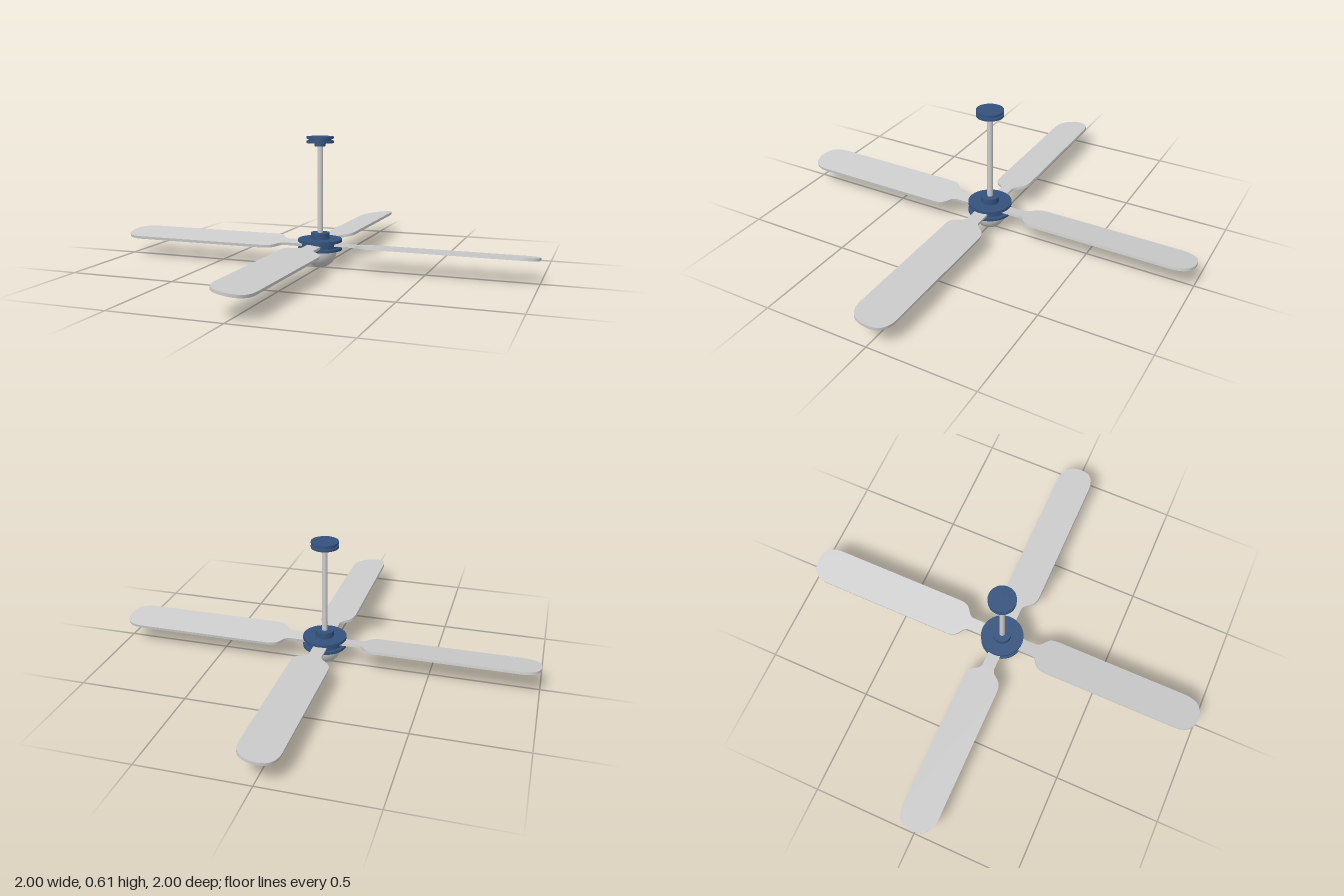
import * as THREE from 'three';
import { toCreasedNormals } from 'three/addons/utils/BufferGeometryUtils.js';

const grey = new THREE.MeshStandardMaterial({ color: 0xcccccc });
const blue = new THREE.MeshStandardMaterial({ color: 0x34527d });

// Turned part from [radius, height] pairs, listed bottom to top
function turned(name, profile, material) {
  const points = profile.map(([r, y]) => new THREE.Vector2(r, y));
  const geometry = toCreasedNormals(new THREE.LatheGeometry(points, 48), 0.6);
  const mesh = new THREE.Mesh(geometry, material);
  mesh.name = name;
  return mesh;
}

// Flat paddle with a narrow neck, flared shoulders and a rounded tip
function bladeGeometry() {
  const w = 0.0875, neck = 0.03, t = 0.013;
  const s = new THREE.Shape();
  s.moveTo(0.04, -neck);
  s.lineTo(0.165, -neck);
  s.bezierCurveTo(0.205, -neck - 0.005, 0.19, -w, 0.26, -w);
  s.lineTo(0.9, -w);
  s.bezierCurveTo(0.965, -w, 1, -0.06, 1, 0);
  s.bezierCurveTo(1, 0.06, 0.965, w, 0.9, w);
  s.lineTo(0.26, w);
  s.bezierCurveTo(0.19, w, 0.205, neck + 0.005, 0.165, neck);
  s.lineTo(0.04, neck);
  s.closePath();
  const g = new THREE.ExtrudeGeometry(s, { depth: t, bevelEnabled: false, curveSegments: 16 });
  g.translate(0, 0, -t / 2);
  g.rotateX(-Math.PI / 2);
  return toCreasedNormals(g, 0.6);
}

export function createModel() {
  const fan = new THREE.Group();
  fan.name = 'ceilingFan';

  // Ceiling mount: grooved disc with a small collar below
  fan.add(turned('ceilingMount', [
    [0, 0.563], [0.025, 0.563], [0.025, 0.578], [0.063, 0.578], [0.063, 0.588],
    [0.053, 0.588], [0.053, 0.598], [0.063, 0.598], [0.063, 0.607], [0, 0.607],
  ], blue));

  // Down rod
  const rod = new THREE.Mesh(new THREE.CylinderGeometry(0.013, 0.013, 0.43, 32), grey);
  rod.name = 'downRod';
  rod.position.y = 0.36;
  fan.add(rod);

  // Motor housing: two flanges around a recessed core, collar on top
  fan.add(turned('motorHousing', [
    [0, 0.083], [0.102, 0.083], [0.102, 0.095], [0.085, 0.095], [0.085, 0.121],
    [0.102, 0.121], [0.102, 0.134], [0.043, 0.134], [0.043, 0.163], [0, 0.163],
  ], blue));

  // Lamp globe hanging under the motor
  const lamp = new THREE.Mesh(
    new THREE.SphereGeometry(0.077, 40, 16, 0, Math.PI * 2, Math.PI / 2, Math.PI / 2), grey);
  lamp.name = 'lampGlobe';
  lamp.position.y = 0.077;
  lamp.scale.y = 1;
  const lampTop = new THREE.Mesh(new THREE.CylinderGeometry(0.077, 0.077, 0.01, 40), grey);
  lampTop.name = 'lampRim';
  lampTop.position.y = 0.082;
  fan.add(lamp, lampTop);

  // Four pitched blades around the hub
  const geometry = bladeGeometry();
  for (let i = 0; i < 4; i++) {
    const arm = new THREE.Group();
    arm.name = 'bladeArm' + (i + 1);
    const blade = new THREE.Mesh(geometry, grey);
    blade.name = 'blade';
    blade.rotation.x = -0.143;
    arm.add(blade);
    arm.position.y = 0.108;
    arm.rotation.y = i * Math.PI / 2;
    fan.add(arm);
  }
  return fan;
}
